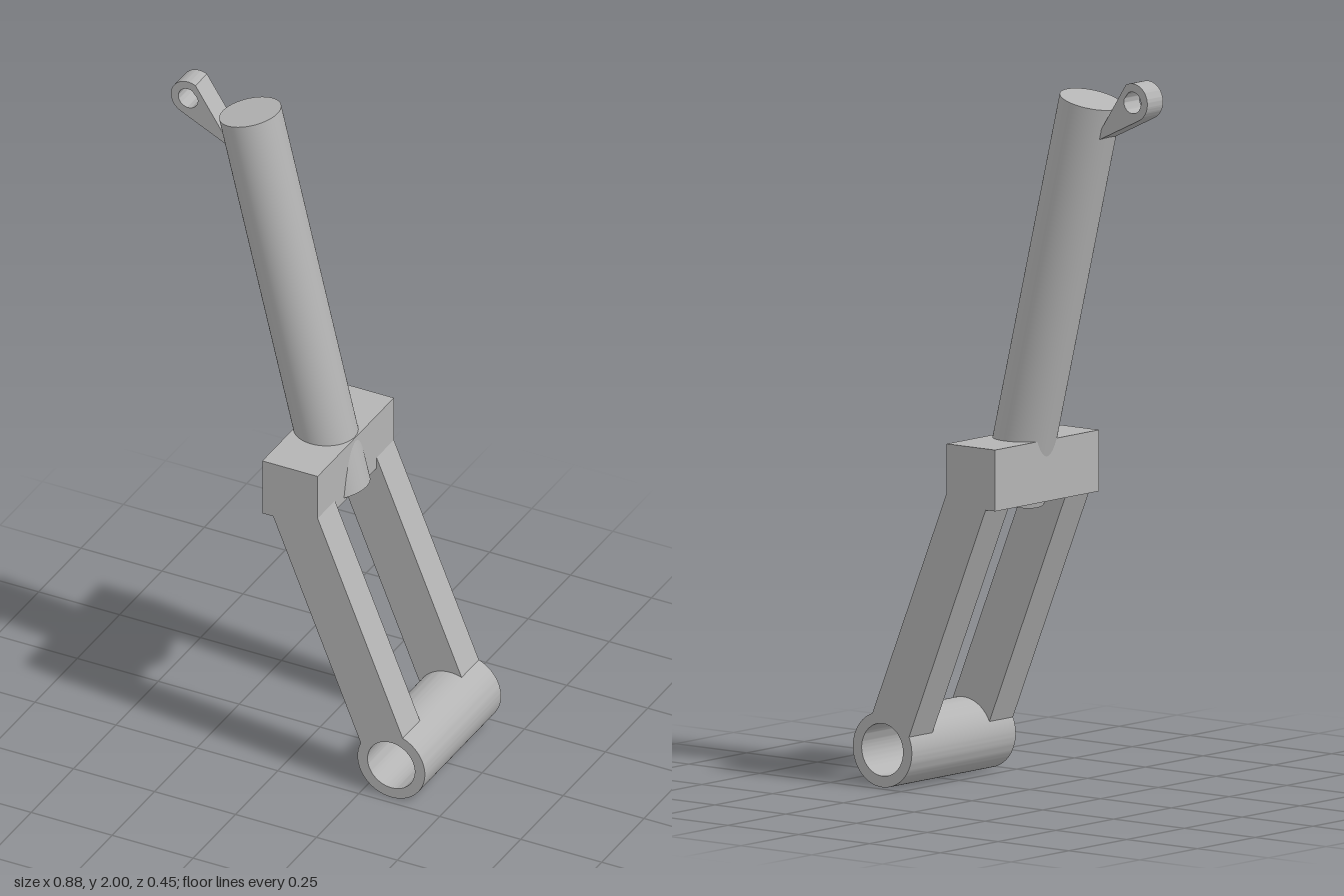
import * as THREE from 'three';
import { toCreasedNormals } from 'three/addons/utils/BufferGeometryUtils.js';

const DEPTH = 0.45;      // full width of the fork along z
const ARM_DEPTH = 0.102; // thickness of each fork arm

// Extrudes a shape along z, centred, with smooth curves and sharp edges
function extrude(shape, depth) {
  const geo = new THREE.ExtrudeGeometry(shape, { depth, bevelEnabled: false, curveSegments: 48 });
  geo.translate(0, 0, -depth / 2);
  return toCreasedNormals(geo, Math.PI / 6);
}

function addHole(shape, radius) {
  const hole = new THREE.Path();
  hole.absarc(0, 0, radius, 0, Math.PI * 2, true);
  shape.holes.push(hole);
}

export function createModel() {
  const model = new THREE.Group();
  const steel = new THREE.MeshStandardMaterial({ color: 0xb4b4b4 });
  steel.name = 'steelGrey';

  function add(name, geo, parent = model) {
    const mesh = new THREE.Mesh(geo, steel);
    mesh.name = name;
    parent.add(mesh);
    return mesh;
  }

  // Slanted strut cylinder, passing through the block
  const top = new THREE.Vector3(-0.216, 1.935, 0);
  const bottom = new THREE.Vector3(0.059, 0.804, 0);
  const axis = top.clone().sub(bottom);
  const strut = add('strutCylinder', new THREE.CylinderGeometry(0.087, 0.087, axis.length(), 64));
  strut.position.copy(top).add(bottom).multiplyScalar(0.5);
  strut.quaternion.setFromUnitVectors(new THREE.Vector3(0, 1, 0), axis.normalize());

  // Cross block joining the strut to the fork
  const block = add('crossBlock', new THREE.BoxGeometry(0.171, 0.17, DEPTH));
  block.position.set(0.0245, 0.89, 0);

  // Fork: bushing tube with two arms rising to the block
  const fork = new THREE.Group();
  fork.name = 'fork';
  fork.position.set(0.337, 0.104, 0);
  fork.rotation.z = THREE.MathUtils.degToRad(22.4);
  model.add(fork);

  const ring = new THREE.Shape();
  ring.absarc(0, 0, 0.104, 0, Math.PI * 2, false);
  addHole(ring, 0.073);
  add('bushingTube', extrude(ring, DEPTH), fork);

  // Each arm ends in a concave arc inside the tube wall
  const half = 0.07, seat = 0.09, spread = Math.asin(half / seat);
  const arm = new THREE.Shape();
  arm.moveTo(half, 0.82);
  arm.lineTo(-half, 0.82);
  arm.absarc(0, 0, seat, Math.PI / 2 + spread, Math.PI / 2 - spread, true);
  arm.closePath();
  for (const side of [1, -1]) {
    const mesh = add(side > 0 ? 'frontArm' : 'backArm', extrude(arm, ARM_DEPTH), fork);
    mesh.position.z = side * (DEPTH - ARM_DEPTH) / 2;
  }

  // Drilled lug at the top, running down into the strut
  const lug = new THREE.Shape();
  lug.moveTo(0.175, 0.053);
  lug.absarc(0, 0, 0.053, Math.PI / 2, Math.PI * 1.5, false);
  lug.lineTo(0.175, -0.053);
  lug.closePath();
  addHole(lug, 0.03);
  const lugMesh = add('topLug', extrude(lug, 0.068));
  lugMesh.position.set(-0.39, 1.947, 0);
  lugMesh.rotation.z = THREE.MathUtils.degToRad(-25.5);

  return model;
}
